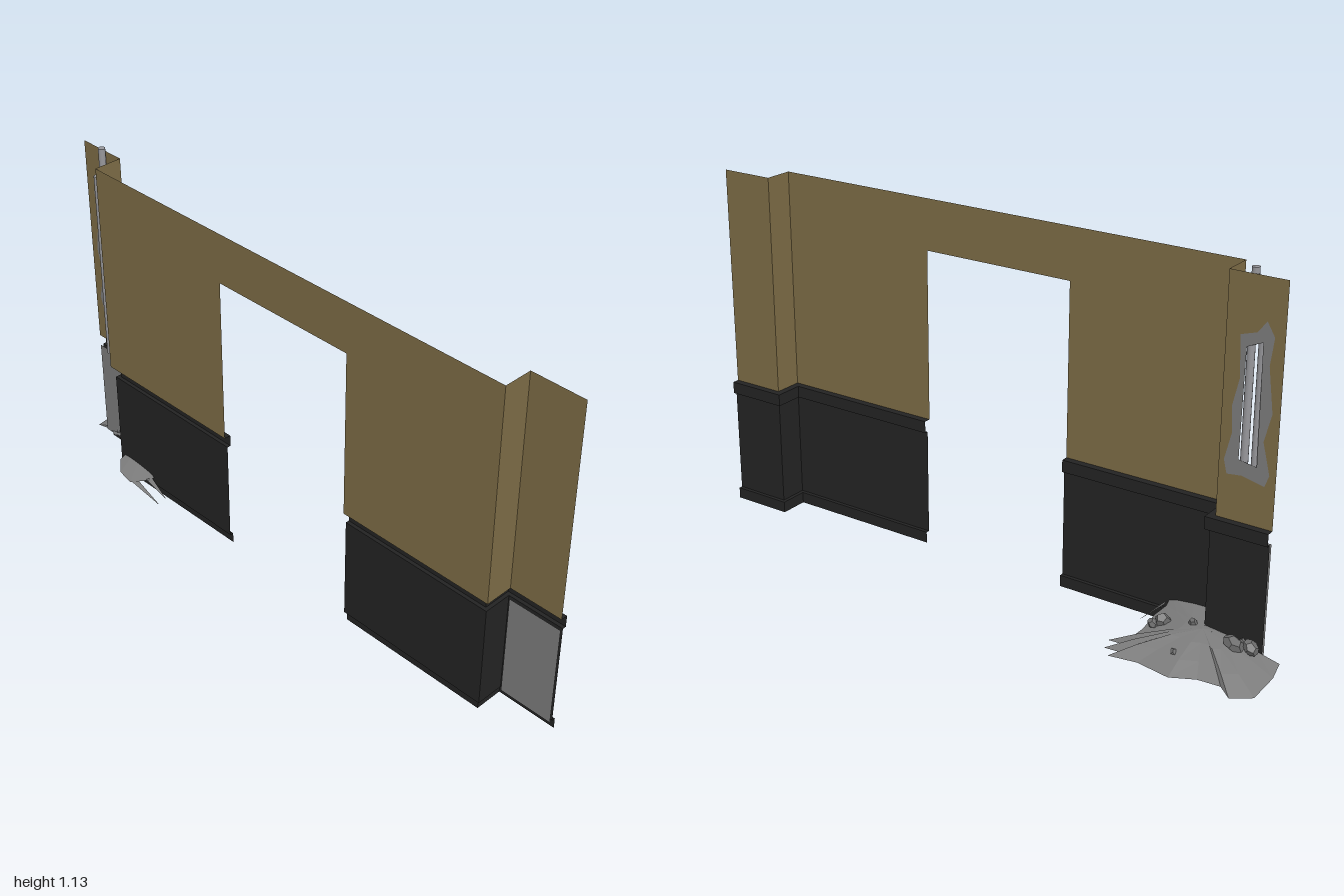
import * as THREE from 'three';

const paint = (name, color) => {
  const m = new THREE.MeshStandardMaterial({ color, side: THREE.DoubleSide });
  m.name = name;
  return m;
};

export function createModel() {
  const tan = paint('tan plaster', 0x7d6c46);
  const black = paint('black panelling', 0x232323);
  const concrete = paint('grey concrete', 0x7c7c7c);
  const metal = paint('pipe metal', 0x97979b);
  const stone = paint('rubble stone', 0x6c6c6c);
  const group = new THREE.Group();

  const add = (name, geo, mat, x = 0, y = 0, z = 0) => {
    const m = new THREE.Mesh(geo, mat);
    m.name = name;
    m.position.set(x, y, z);
    group.add(m);
    return m;
  };
  const polygon = (pts) => pts.map(([a, b]) => new THREE.Vector2(a, b));
  // Flat sheet in the z-y plane, facing +x
  const sheet = (pts, hole) => {
    const s = new THREE.Shape(polygon(pts));
    if (hole) s.holes.push(new THREE.Path(polygon(hole)));
    const g = new THREE.ShapeGeometry(s);
    g.rotateY(-Math.PI / 2);
    const idx = g.index.array;
    for (let i = 0; i < idx.length; i += 3) [idx[i], idx[i + 1]] = [idx[i + 1], idx[i]];
    g.computeVertexNormals();
    return g;
  };
  const rect = (z0, z1, y0, y1) => [[z0, y0], [z1, y0], [z1, y1], [z0, y1]];
  // Faceted grid through rows of points
  const loft = (rows) => {
    const pos = [];
    for (let i = 0; i < rows.length - 1; i++) {
      for (let j = 0; j < rows[i].length - 1; j++) {
        const a = rows[i][j], b = rows[i][j + 1], c = rows[i + 1][j + 1], d = rows[i + 1][j];
        pos.push(...a, ...d, ...c, ...a, ...c, ...b);
      }
    }
    const g = new THREE.BufferGeometry();
    g.setAttribute('position', new THREE.Float32BufferAttribute(pos, 3));
    g.computeVertexNormals();
    return g;
  };

  // Upper wall: recessed middle with doorway, two returns and two forward panels
  const FRONT = -0.022, BACK = -0.115, ZA = 0.825, ZB = -0.75, BASE = 0.418, TOP = 1.12;
  add('recessedWall', sheet([[ZB, BASE], [-0.21, BASE], [-0.21, 0.96], [0.29, 0.96],
    [0.29, BASE], [ZA, BASE], [ZA, TOP], [ZB, TOP]]), tan, BACK);
  for (const z of [ZA, ZB]) {
    const r = add('wallReturn', new THREE.PlaneGeometry(FRONT - BACK, TOP - BASE), tan,
      (FRONT + BACK) / 2, (TOP + BASE) / 2, z);
    if (z === ZA) r.rotation.y = Math.PI;
  }
  add('frontWallPanel', sheet(rect(ZA, 1, BASE, TOP)), tan, FRONT);

  // Broken patch in the rear panel, open in the middle to show the pipes
  const ragged = [[-0.866, 1.0], [-0.84, 0.965], [-0.792, 0.95], [-0.798, 0.83], [-0.78, 0.75], [-0.784, 0.67],
    [-0.765, 0.59], [-0.775, 0.55], [-0.82, 0.555], [-0.888, 0.54], [-0.9, 0.575], [-0.877, 0.667],
    [-0.897, 0.75], [-0.88, 0.88], [-0.89, 0.96]];
  const opening = [[-0.858, 0.94], [-0.812, 0.92], [-0.808, 0.6], [-0.862, 0.59]];
  add('rearWallPanel', sheet(rect(-0.92, ZB, BASE, TOP), ragged), tan, FRONT);
  add('brokenPlaster', sheet(ragged, opening), concrete, FRONT);
  for (const [z, y] of [[-0.818, 0.815], [-0.85, 0.71]]) {
    add('pipe', new THREE.CylinderGeometry(0.011, 0.011, 0.64, 12), metal, -0.036, y, z);
  }

  // Lower panelling: rail, panel and skirting profile swept along the stepped wall
  const profile = [[0, 0.418], [0.022, 0.418], [0.022, 0.38], [0.01, 0.38],
    [0.01, 0.04], [0.022, 0.04], [0.022, 0.004]];
  const runs = [
    (d) => [[FRONT + d, 1], [FRONT + d, ZA - d], [BACK + d, ZA - d], [BACK + d, 0.29]],
    (d) => [[BACK + d, -0.21], [BACK + d, ZB + d], [FRONT + d, ZB + d], [FRONT + d, -0.92]],
  ];
  for (const run of runs) {
    add('panelling', loft(profile.map(([d, y]) => run(d).map(([x, z]) => [x, y, z]))), black);
  }
  // Bare backing behind the forward panels
  for (const [z0, z1] of [[ZA, 1], [-0.92, ZB]]) {
    add('panelBacking', sheet(rect(z0, z1, 0.04, 0.38)), concrete, FRONT);
  }

  // Debris heap: jagged outline [x, y, z] rising in rings to a low crown
  const rim = [[-0.02, 0.03, -0.97], [0.05, 0.025, -0.985], [0.15, 0.012, -0.98], [0.18, 0.005, -0.92],
    [0.15, 0.012, -0.88], [0.155, 0.012, -0.81], [0.18, 0.005, -0.735], [0.165, 0.008, -0.63],
    [0.175, 0.005, -0.54], [0.15, 0.012, -0.56], [0.145, 0.006, -0.51], [0.12, 0.02, -0.55],
    [0.105, 0.008, -0.5], [0.08, 0.025, -0.56], [0.04, 0.04, -0.575], [-0.03, 0.05, -0.57],
    [-0.08, 0.06, -0.58], [-0.13, 0.07, -0.57], [-0.185, 0.075, -0.6], [-0.175, 0.078, -0.66],
    [-0.13, 0.078, -0.715], [-0.04, 0.075, -0.72], [-0.025, 0.07, -0.8], [-0.04, 0.055, -0.86], [-0.015, 0.04, -0.91]];
  const crown = [0.015, 0.085, -0.75];
  const rings = [0, 0.35, 0.7, 1].map((t) => [...rim, rim[0]].map(([x, y, z]) => [
    crown[0] + (x - crown[0]) * t,
    y + (crown[1] - y) * (1 - t ** 1.5),
    crown[2] + (z - crown[2]) * t,
  ]));
  add('debrisHeap', loft(rings), concrete);

  // Splinters hanging from the edge of the heap
  for (const [x, z, dx, dz] of [[-0.18, -0.6, 0.04, 0.08], [-0.14, -0.575, 0.035, 0.05], [-0.09, -0.58, 0.04, 0.07]]) {
    add('splinter', loft([[[x, 0.076, z], [x + 0.025, 0.07, z]],
      [[x + dx, 0.006, z + dz], [x + dx + 0.002, 0.006, z + dz]]]), concrete);
  }

  // Loose stones
  for (const [x, y, z, r] of [[0.02, 0.077, -0.9, 0.022], [0.025, 0.075, -0.85, 0.028], [-0.01, 0.06, -0.86, 0.018],
    [0.01, 0.062, -0.62, 0.025], [0.0, 0.082, -0.71, 0.014], [0.11, 0.04, -0.71, 0.014], [0.03, 0.06, -0.6, 0.015]]) {
    const s = add('stone', new THREE.DodecahedronGeometry(r), stone, x, y, z);
    s.rotation.set(x * 40, z * 9, y * 20);
    s.scale.set(1.2, 0.75, 1);
  }
  return group;
}
